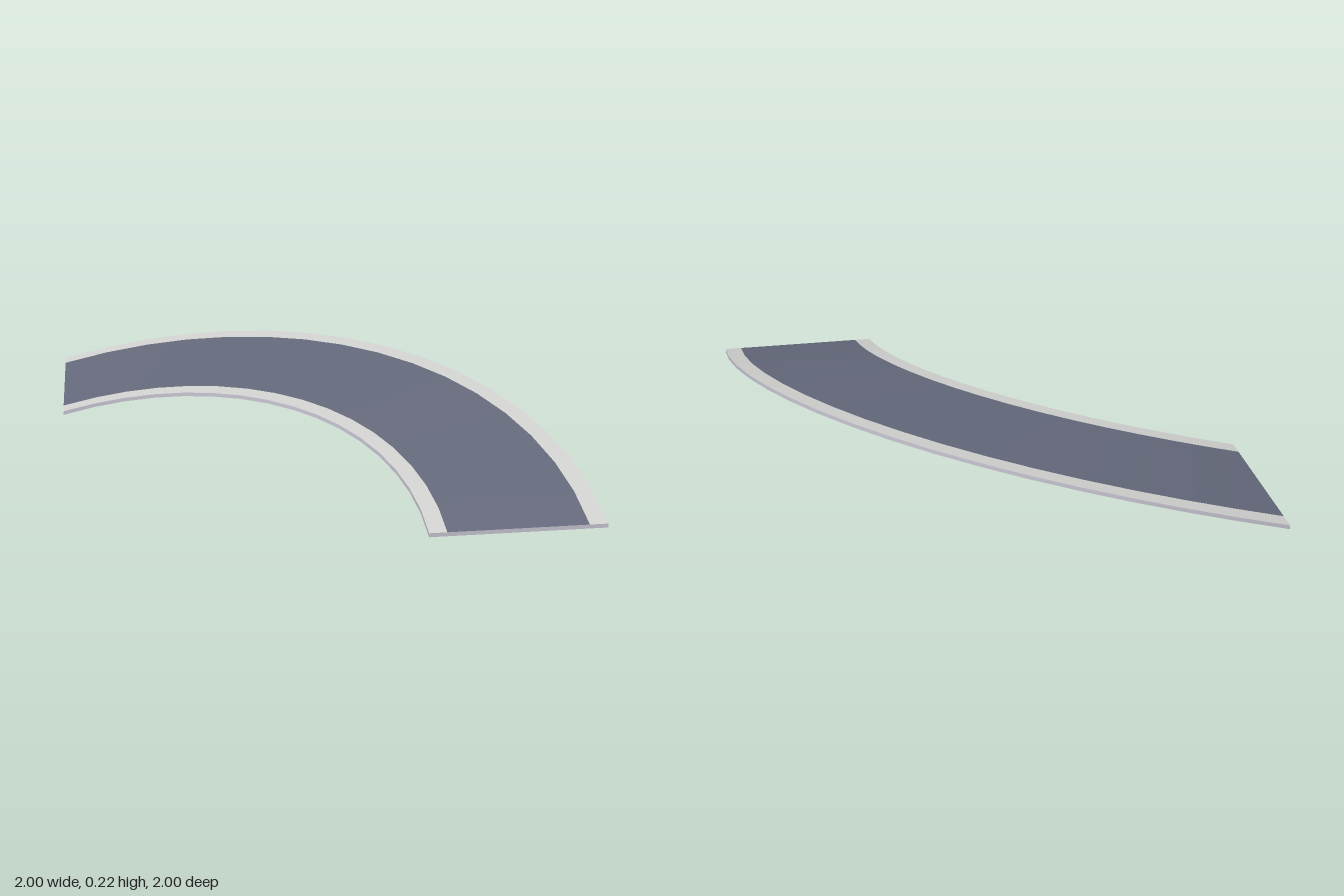
import * as THREE from 'three';

const SEGMENTS = 16;
const INNER = 1.333, OUTER = 2, ROAD_IN = 1.4, ROAD_OUT = 1.93;
const THICK = 0.016, RISE = 0.102;

// Point on the quarter-turn ramp: t along the bend, r from its centre, lift above the underside
function rampPoint(t, r, lift) {
  const a = t * Math.PI / 2;
  const y = r * RISE * 4 * t * (1 - t) + lift;
  return [-1 + r * Math.sin(a), y, 1 - r * Math.cos(a)];
}

// Strip swept along the bend between two cross-section points [r, lift]
function sweep(a, b) {
  const pos = [], index = [];
  for (let i = 0; i <= SEGMENTS; i++) {
    const t = i / SEGMENTS;
    pos.push(...rampPoint(t, ...a), ...rampPoint(t, ...b));
    if (i < SEGMENTS) {
      const k = i * 2;
      index.push(k, k + 1, k + 2, k + 1, k + 3, k + 2);
    }
  }
  return build(pos, index);
}

// Flat end face of the slab
function endFace(t, flip) {
  const pos = [[INNER, 0], [OUTER, 0], [OUTER, THICK], [INNER, THICK]].flatMap(p => rampPoint(t, ...p));
  return build(pos, flip ? [0, 2, 1, 0, 3, 2] : [0, 1, 2, 0, 2, 3]);
}

function build(pos, index) {
  const g = new THREE.BufferGeometry();
  g.setAttribute('position', new THREE.Float32BufferAttribute(pos, 3));
  g.setIndex(index);
  g.computeVertexNormals();
  return g;
}

export function createModel() {
  const model = new THREE.Group();
  model.name = 'curvedRoadRamp';
  const material = (name, color) => {
    const m = new THREE.MeshStandardMaterial({ color });
    m.name = name;
    return m;
  };
  const asphalt = material('asphalt', 0x666b7d);
  const kerb = material('kerbGrey', 0xd4d4d3);
  const base = material('baseGrey', 0xcac8d5);
  const add = (name, geometry, mat) => {
    const mesh = new THREE.Mesh(geometry, mat);
    mesh.name = name;
    model.add(mesh);
  };

  // Top surface: carriageway between two kerb bands
  add('road', sweep([ROAD_OUT, THICK], [ROAD_IN, THICK]), asphalt);
  add('innerKerb', sweep([ROAD_IN, THICK], [INNER, THICK]), kerb);
  add('outerKerb', sweep([OUTER, THICK], [ROAD_OUT, THICK]), kerb);

  // Slab underside, edges and ends
  add('underside', sweep([INNER, 0], [OUTER, 0]), base);
  add('outerEdge', sweep([OUTER, 0], [OUTER, THICK]), base);
  add('innerEdge', sweep([INNER, THICK], [INNER, 0]), base);
  add('backEnd', endFace(0, true), base);
  add('frontEnd', endFace(1, false), base);
  return model;
}
